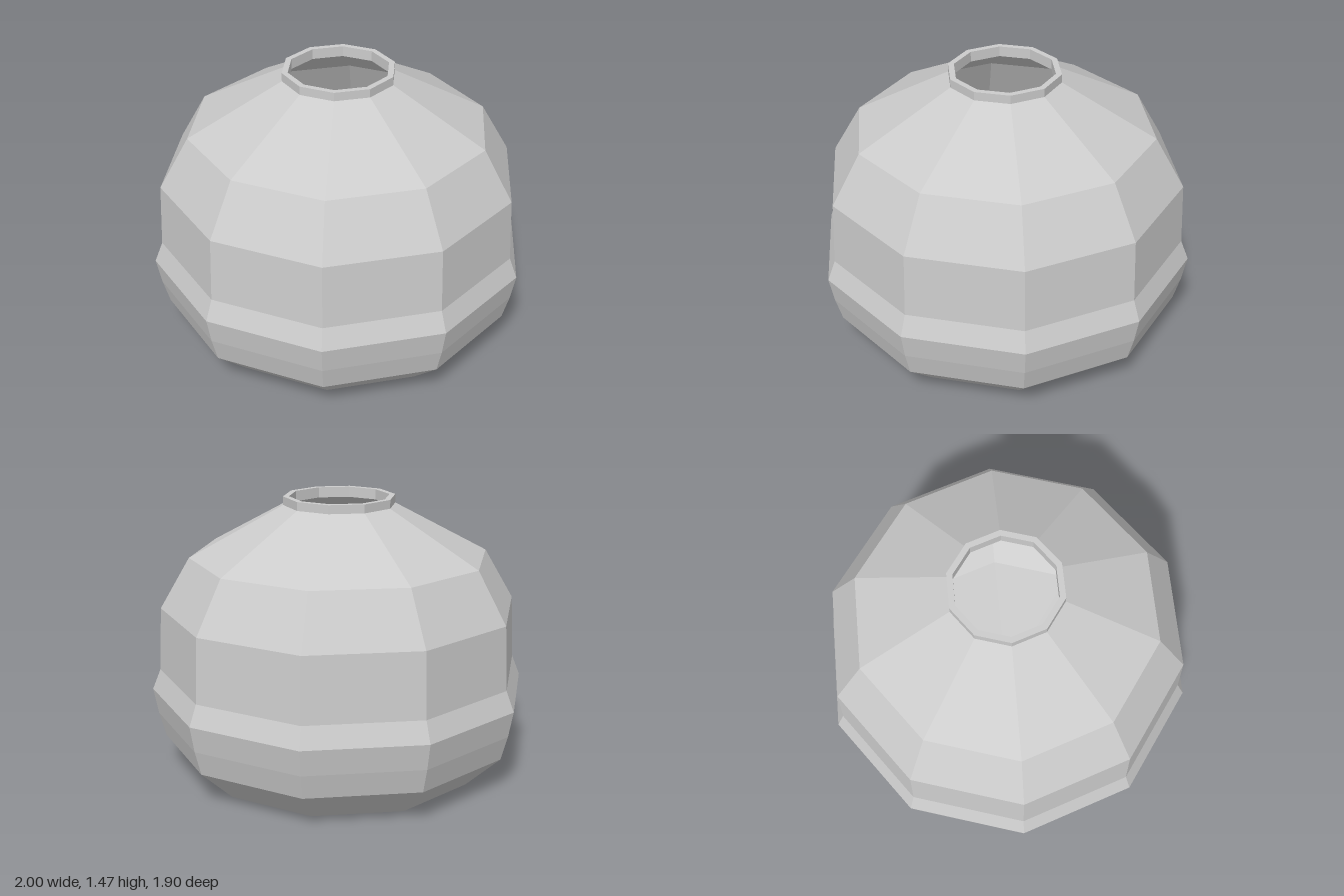
import * as THREE from 'three';

const SIDES = 10;

export function createModel() {
  const model = new THREE.Group();
  model.name = 'pot';
  const material = new THREE.MeshStandardMaterial({ color: 0xcccccc, flatShading: true });

  // Ten-sided turned part with a corner on +x; profile is [radius, height]
  const turned = (name, profile) => {
    const points = profile.map(([r, y]) => new THREE.Vector2(r, y));
    const mesh = new THREE.Mesh(new THREE.LatheGeometry(points, SIDES, Math.PI / 2), material);
    mesh.name = name;
    model.add(mesh);
  };

  // Closed base and belly with a raised band, up to the shoulder
  turned('body', [
    [0, 0], [0.752, 0], [0.94, 0.18], [0.975, 0.31], [1, 0.447], [0.957, 0.555],
    [0.94, 0.89], [0.785, 1.155], [0.293, 1.42],
  ]);

  // Short collar around the mouth
  turned('rim', [[0.293, 1.42], [0.293, 1.465], [0.262, 1.465], [0.262, 1.41]]);

  // Hollow inside, running down to a shallow bowl-shaped floor
  turned('interior', [
    [0.262, 1.41], [0.755, 1.13], [0.9, 0.87], [0.917, 0.555], [0.955, 0.447],
    [0.935, 0.31], [0.9, 0.2], [0.73, 0.09], [0, 0.03],
  ]);

  return model;
}
